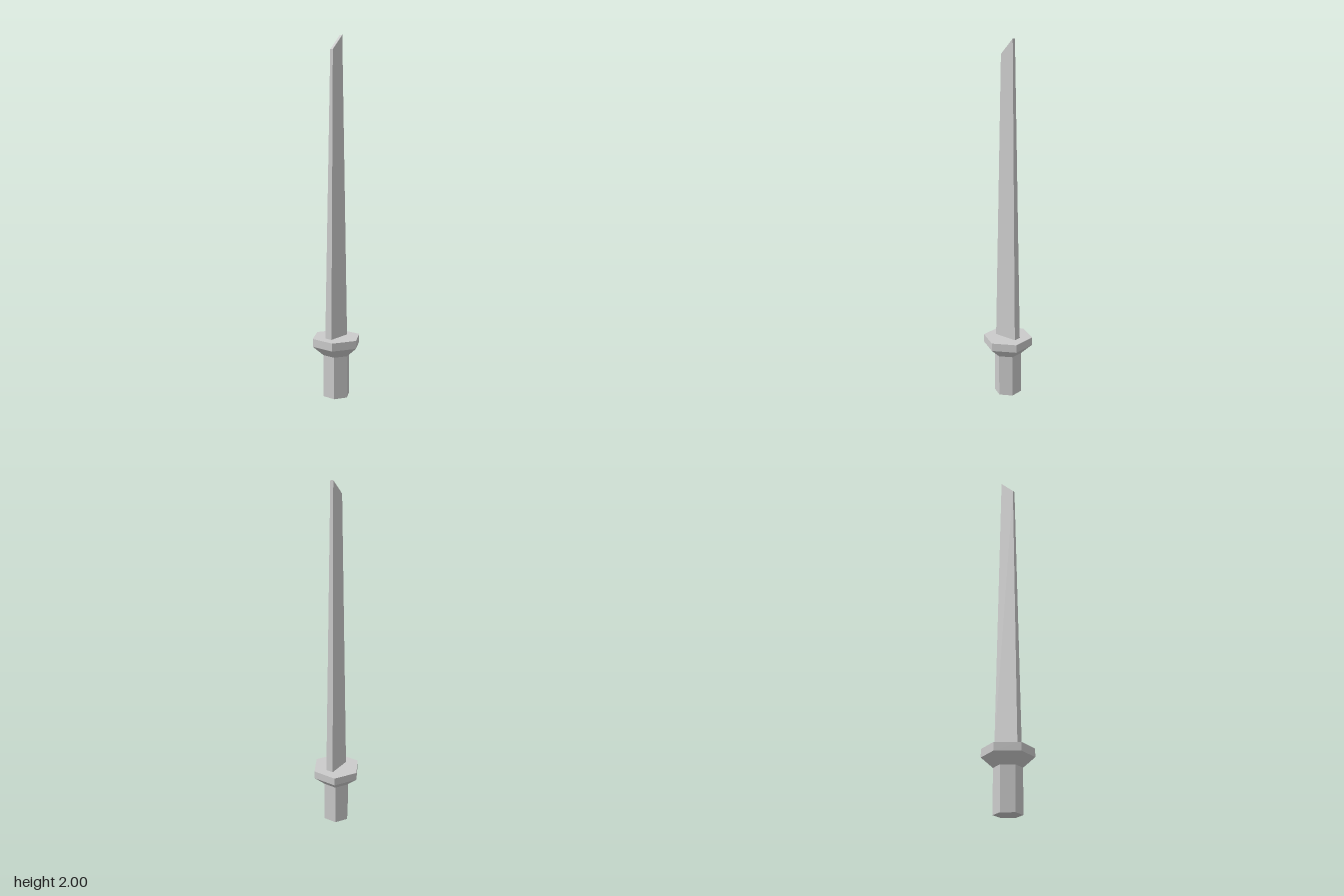
import * as THREE from 'three';

const material = new THREE.MeshStandardMaterial({ color: 0xcccccc, flatShading: true });

// Six-sided section with corners on the z axis, between two heights
function hexSection(name, rBottom, rTop, y0, y1, open = false) {
  const geometry = new THREE.CylinderGeometry(rTop, rBottom, y1 - y0, 6, 1, open);
  geometry.translate(0, (y0 + y1) / 2, 0);
  const mesh = new THREE.Mesh(geometry, material);
  mesh.name = name;
  return mesh;
}

// Tapered box with a slanted tip, highest on the +x edge
function makeBlade() {
  const geometry = new THREE.BoxGeometry(2, 2, 2);
  const p = geometry.attributes.position;
  for (let i = 0; i < p.count; i++) {
    const sx = p.getX(i), sz = p.getZ(i);
    if (p.getY(i) > 0) p.setXYZ(i, sx * 0.04, 1.96 + sx * 0.04, sz * 0.009);
    else p.setXYZ(i, sx * 0.07, 0.338, sz * 0.022);
  }
  geometry.computeVertexNormals();
  const mesh = new THREE.Mesh(geometry, material);
  mesh.name = 'blade';
  return mesh;
}

export function createModel() {
  const group = new THREE.Group();
  group.name = 'sword';
  group.add(
    hexSection('grip', 0.077, 0.077, 0, 0.24),
    hexSection('guardFlare', 0.077, 0.14, 0.24, 0.295, true),
    hexSection('guardRim', 0.14, 0.14, 0.295, 0.34),
    makeBlade()
  );
  return group;
}
